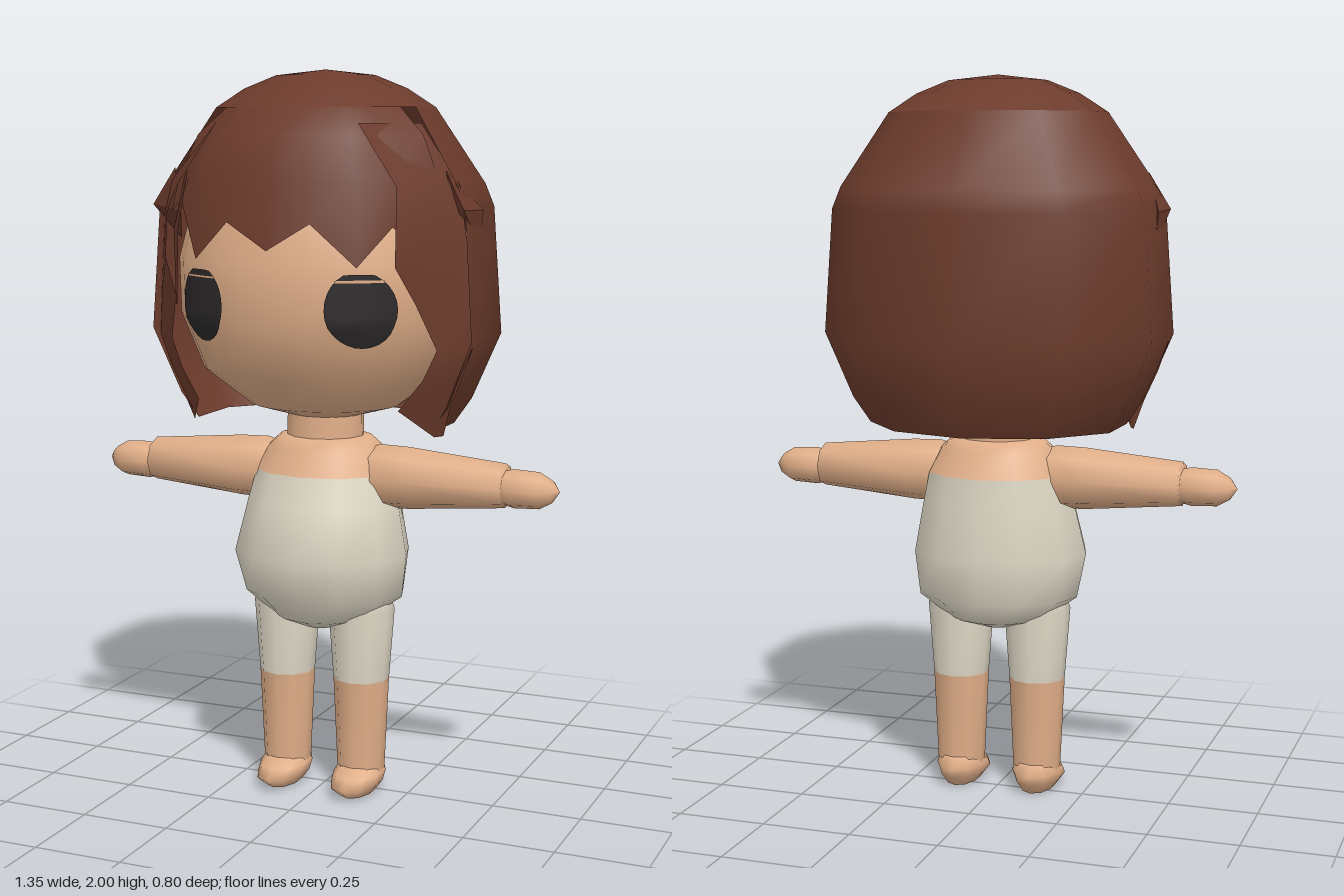
import * as THREE from 'three';
import { ConvexGeometry } from 'three/addons/geometries/ConvexGeometry.js';

const mat = (name, color, side = THREE.FrontSide) => {
  const m = new THREE.MeshStandardMaterial({ color, side });
  m.name = name;
  return m;
};

// Surface through rows of points, listed bottom to top, columns running from +z towards +x
function grid(rows, closed = false) {
  const n = rows[0].length, pos = rows.flat(2), idx = [];
  for (let j = 0; j < rows.length - 1; j++) {
    for (let i = 0; i < (closed ? n : n - 1); i++) {
      const k = (i + 1) % n, a = j * n + i, b = j * n + k;
      idx.push(a, b, b + n, a, b + n, a + n);
    }
  }
  const g = new THREE.BufferGeometry();
  g.setAttribute('position', new THREE.Float32BufferAttribute(pos, 3));
  g.setIndex(idx);
  g.computeVertexNormals();
  return g;
}

// Stack of ellipses: [y, half width, half depth, z centre]
function loft(rings, sides) {
  return grid(rings.map(([y, rx, rz, zc = 0]) => Array.from({ length: sides }, (_, i) => {
    const a = (i / sides) * Math.PI * 2;
    return [Math.sin(a) * rx, y, zc + Math.cos(a) * rz];
  })), true);
}

const HEAD = [
  [1.065, 0, 0], [1.07, 0.1, 0.09], [1.1, 0.21, 0.19], [1.2, 0.34, 0.31], [1.35, 0.4, 0.367],
  [1.5, 0.405, 0.367], [1.7, 0.35, 0.32], [1.85, 0.2, 0.19], [1.88, 0, 0],
];

// Depth of the face surface at x, y
function faceZ(x, y) {
  const i = Math.max(1, HEAD.findIndex((r) => r[0] >= y));
  const [a, b] = [HEAD[i - 1], HEAD[i]];
  const t = (y - a[0]) / (b[0] - a[0]);
  const rx = a[1] + (b[1] - a[1]) * t, rz = a[2] + (b[2] - a[2]) * t;
  return rz * Math.sqrt(Math.max(0, 1 - (x / rx) ** 2));
}

// Lay a flat geometry onto the face
function ontoFace(g, cx, cy, lift, maxY = 9) {
  const p = g.attributes.position;
  for (let i = 0; i < p.count; i++) {
    const x = p.getX(i) + cx, y = Math.min(maxY, p.getY(i) + cy);
    p.setXYZ(i, x, y, faceZ(x, y) + lift);
  }
  g.computeVertexNormals();
  return g;
}

export function createModel() {
  const skin = mat('skin', 0xe0ae88);
  const cloth = mat('cream cloth', 0xddd6c4);
  const hair = mat('brown hair', 0x6c3b2c, THREE.DoubleSide);
  const dark = mat('eye black', 0x2c292a);
  const root = new THREE.Group();
  root.name = 'figure';
  const add = (name, geometry, material) => {
    const m = new THREE.Mesh(geometry, material);
    m.name = name;
    root.add(m);
    return m;
  };

  // Torso
  add('bodysuit', loft([
    [0.47, 0, 0, 0.02], [0.475, 0.05, 0.06, 0.02], [0.505, 0.14, 0.135, 0.01], [0.57, 0.23, 0.185, 0.005],
    [0.69, 0.25, 0.215, 0.025], [0.83, 0.22, 0.185, 0.01], [0.915, 0.2, 0.165],
  ], 12), cloth);
  add('chest', loft([
    [0.915, 0.2, 0.165], [0.98, 0.165, 0.135], [1.01, 0.13, 0.11], [1.025, 0, 0],
  ], 12), skin);
  add('neck', loft([[0.99, 0.11, 0.1], [1.15, 0.105, 0.095]], 12), skin);

  // Arms and legs
  for (const s of [1, -1]) {
    const side = s > 0 ? 'left' : 'right';
    const limb = (name, rings, y) => {
      const g = loft(rings, 8).rotateZ(-Math.PI / 2);
      if (s < 0) g.rotateY(Math.PI);
      add(name, g.translate(0, y, 0.008), skin);
    };
    limb(side + 'Arm', [[0.1, 0.07, 0.07], [0.17, 0.088, 0.085], [0.25, 0.086, 0.085], [0.525, 0.061, 0.063], [0.528, 0, 0]], 0.906);
    limb(side + 'Hand', [[0.5, 0.042, 0.045], [0.55, 0.053, 0.057], [0.62, 0.05, 0.053], [0.655, 0.03, 0.03], [0.675, 0, 0]], 0.9);

    const leg = (name, rings, m) => add(name, loft(rings, 10).translate(s * 0.113, 0, 0.012), m);
    leg(side + 'LegCloth', [[0.33, 0.078, 0.078], [0.53, 0.093, 0.09], [0.57, 0.08, 0.075]], cloth);
    leg(side + 'Shin', [[0.06, 0.066, 0.066], [0.33, 0.078, 0.078]], skin);
    leg(side + 'Foot', [
      [0.003, 0, 0, 0.02], [0.005, 0.045, 0.08, 0.02], [0.035, 0.068, 0.112, 0.03],
      [0.06, 0.07, 0.1, 0.008], [0.09, 0.056, 0.06, -0.008], [0.095, 0, 0, -0.008],
    ], skin);
  }

  // Head and eyes
  add('head', loft(HEAD, 28), skin);
  for (const s of [1, -1]) {
    const eye = new THREE.RingGeometry(0.001, 1, 28, 5).scale(0.081, 0.1, 1);
    add('eye', ontoFace(eye, s * 0.225, 1.39, 0.007, 1.482), dark);
    add('eyelidLine', ontoFace(new THREE.PlaneGeometry(0.11, 0.007, 8, 1), s * 0.225, 1.464, 0.01), skin);
  }

  // Hair shell around sides and back, scaled from one outline
  const back = [[0.465, 0.13], [0.465, -0.12], [0.29, -0.325], [0, -0.41], [-0.29, -0.325], [-0.465, -0.12], [-0.465, 0.13]];
  const front = [[-0.31, 0.28], [-0.235, 0.345], [-0.12, 0.387], [0, 0.4], [0.12, 0.387], [0.235, 0.345], [0.31, 0.28]];
  const scaled = (outline, y, k) => outline.map(([x, z]) => [x * k, y, z * k]);
  add('backHair', grid([
    [1.05, 0.74], [1.12, 0.84], [1.3, 1], [1.64, 0.95], [1.7, 0.9], [1.9, 0.62],
  ].map(([y, k]) => scaled(back, y, k))), hair);
  add('crown', grid([
    [1.9, 0.62], [1.95, 0.46], [1.985, 0.28], [2, 0],
  ].map(([y, k]) => scaled([...front, ...back], y, k)), true), hair);

  // Zigzag fringe
  const fringe = [[-0.41, 0.15], ...front, [0.41, 0.15]];
  const tips = [1.62, 1.66, 1.51, 1.61, 1.54, 1.61, 1.5, 1.6, 1.5];
  add('fringe', grid([
    fringe.map(([x, z], i) => [x * 0.965, tips[i], z * 0.965]),
    scaled(fringe, 1.72, 0.91), scaled(fringe, 1.83, 0.79), scaled(fringe, 1.905, 0.6),
  ]), hair);

  // Side locks: [y, inner x, inner z, outer x, outer z]
  const lower = [
    [1.04, 0.355, 0.1, 0.37, 0.07], [1.12, 0.29, 0.2, 0.395, 0.09], [1.2, 0.35, 0.18, 0.43, 0.1],
    [1.28, 0.385, 0.17, 0.458, 0.1], [1.4, 0.345, 0.22, 0.452, 0.1],
  ];
  const upper = [[1.7, 0.31, 0.27, 0.42, 0.1], [1.86, 0.2, 0.26, 0.3, 0.07]];
  const middle = { 1: [[1.5, 0.31, 0.28, 0.447, 0.1]], '-1': [[1.5, 0.385, 0.2, 0.447, 0.1], [1.62, 0.37, 0.22, 0.44, 0.1]] };
  for (const s of [1, -1]) {
    const rows = [...lower, ...middle[s], ...upper].map(([y, xi, zi, xo, zo]) => {
      const row = [[s * xi, y, zi], [s * xo, y, zo]];
      return s > 0 ? row : row.reverse();
    });
    add('sideLock', grid(rows), hair);
    // Small raised flick above the temple
    add('hairFlick', new ConvexGeometry([
      [0.39, 1.74, 0.13], [0.448, 1.64, 0.15], [0.45, 1.635, 0], [0.44, 1.54, 0], [0.4, 1.62, 0.08],
    ].map(([x, y, z]) => new THREE.Vector3(s * x, y, z))), hair);
  }

  // Loose strand over the right temple
  add('looseStrand', grid([
    [[-0.335, 1.38, 0.24], [-0.325, 1.38, 0.25]],
    [[-0.325, 1.58, 0.265], [-0.295, 1.58, 0.3]],
    [[-0.29, 1.72, 0.27], [-0.25, 1.74, 0.325]],
  ]), hair);

  return root;
}
